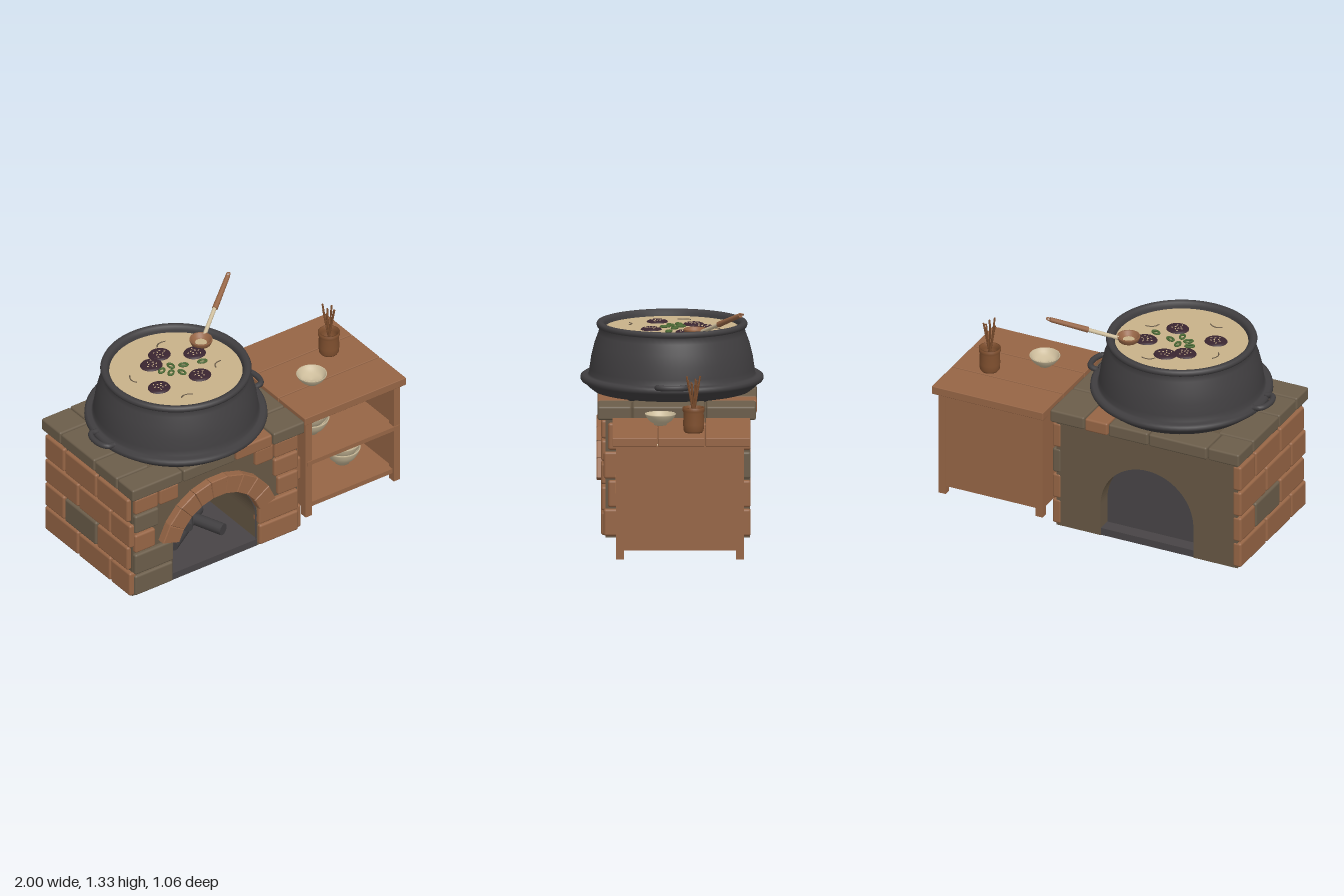
import * as THREE from 'three';
import { RoundedBoxGeometry } from 'three/addons/geometries/RoundedBoxGeometry.js';

const mat = (name, color, side = THREE.FrontSide) => {
  const m = new THREE.MeshStandardMaterial({ color, side });
  m.name = name;
  return m;
};

export function createModel() {
  const root = new THREE.Group();
  const brown = mat('terracotta brown', 0x966545);
  const stone = mat('grey stone', 0x6b5d4a);
  const mortar = mat('mortar', 0x665744);
  const iron = mat('cast iron', 0x403e40, THREE.DoubleSide);
  const soot = mat('soot', 0x484446);
  const broth = mat('creamy broth', 0xc8b189);
  const cream = mat('glazed cream', 0xcdbd9c, THREE.DoubleSide);
  const plum = mat('dark plum', 0x3a2530);
  const green = mat('herb green', 0x4c6b35);
  const clay = mat('dark clay', 0x80502f, THREE.DoubleSide);

  const group = (name, parent = root) => {
    const g = new THREE.Group();
    g.name = name;
    parent.add(g);
    return g;
  };
  const add = (parent, name, geo, m, x = 0, y = 0, z = 0) => {
    const mesh = new THREE.Mesh(geo, m);
    mesh.name = name;
    mesh.position.set(x, y, z);
    parent.add(mesh);
    return mesh;
  };
  // Box given by its limits, rounded when r > 0
  const box = (parent, name, m, x0, x1, y0, y1, z0, z1, r = 0) => {
    const s = [x1 - x0, y1 - y0, z1 - z0];
    const geo = r ? new RoundedBoxGeometry(...s, 2, r) : new THREE.BoxGeometry(...s);
    return add(parent, name, geo, m, (x0 + x1) / 2, (y0 + y1) / 2, (z0 + z1) / 2);
  };
  const lathe = (pts, n = 48) => new THREE.LatheGeometry(pts.map(p => new THREE.Vector2(...p)), n);
  const V = (x, y, z) => new THREE.Vector3(x, y, z);
  const rod = (parent, name, m, a, b, r0, r1 = r0, n = 12) => {
    const d = b.clone().sub(a);
    const mesh = add(parent, name, new THREE.CylinderGeometry(r1, r0, d.length(), n), m);
    mesh.position.copy(a).addScaledVector(d, 0.5);
    mesh.quaternion.setFromUnitVectors(V(0, 1, 0), d.normalize());
    return mesh;
  };

  const CX = -0.39, SPRING = 0.2;

  // Stove core with an arched tunnel
  const stove = group('stove');
  const arch = (path, r, base = 0) => {
    path.moveTo(CX - r, base);
    path.lineTo(CX - r, SPRING);
    path.absarc(CX, SPRING, r, Math.PI, 0, true);
    path.lineTo(CX + r, base);
    path.closePath();
    return path;
  };
  const extrude = (shape, depth) => new THREE.ExtrudeGeometry(shape, { depth, bevelEnabled: false, curveSegments: 24 });
  const wall = new THREE.Shape();
  wall.moveTo(-0.975, 0);
  wall.lineTo(CX - 0.3, 0);
  wall.lineTo(CX - 0.3, SPRING);
  wall.absarc(CX, SPRING, 0.3, Math.PI, 0, true);
  wall.lineTo(CX + 0.3, 0);
  wall.lineTo(0.195, 0);
  wall.lineTo(0.195, 0.7);
  wall.lineTo(-0.975, 0.7);
  add(stove, 'stoveCore', extrude(wall, 0.835), mortar, 0, 0, -0.45);
  const lining = arch(new THREE.Shape(), 0.302);
  lining.holes.push(arch(new THREE.Path(), 0.292, 0.01));
  add(stove, 'fireboxLining', extrude(lining, 0.73), soot, 0, 0, -0.35);
  add(stove, 'fireboxBack', extrude(arch(new THREE.Shape(), 0.3), 0.02), soot, 0, 0, -0.36);
  box(stove, 'fireboxFloor', soot, CX - 0.3, CX + 0.3, 0, 0.045, -0.445, 0.387);

  // Front bricks: x0, x1, y0, y1, material
  const rows = [[0.01, 0.147], [0.155, 0.295], [0.308, 0.432], [0.445, 0.567], [0.577, 0.685]];
  const fronts = [
    [-0.97, -0.7, 0, stone], [-0.97, -0.695, 1, stone], [-0.97, -0.825, 2, brown],
    [-0.97, -0.8, 3, stone], [-0.97, -0.805, 4, brown], [-0.795, -0.66, 4, brown],
    [-0.085, 0.19, 0, brown], [-0.09, 0.19, 1, brown], [0.045, 0.19, 2, brown],
    [0.02, 0.19, 3, brown], [-0.115, 0.013, 4, brown], [0.022, 0.19, 4, brown],
  ];
  for (const [x0, x1, r, m] of fronts) box(stove, 'frontBrick', m, x0, x1, ...rows[r], 0.34, 0.41, 0.014);

  // Side bricks in running bond
  for (const side of [-1, 1]) {
    for (let r = 0; r < 4; r++) {
      const cuts = r % 2 ? [-0.46, -0.26, 0.06, 0.375] : [-0.46, -0.12, 0.2, 0.4];
      for (let i = 0; i < 3; i++) {
        const isStone = side > 0 ? r === 2 && i === 0 : r === 1 && i === 1;
        const x = side > 0 ? 0.165 : -1;
        box(stove, 'sideBrick', isStone ? stone : brown, x, x + 0.055, 0.01 + r * 0.168, 0.168 + r * 0.168,
          cuts[i] + 0.005, cuts[i + 1] - 0.005, 0.014);
      }
    }
  }

  // Arch bricks
  const from = 0.29, step = (Math.PI - 2 * from) / 9;
  for (let i = 0; i < 9; i++) {
    const a = from + i * step + 0.012, b = from + (i + 1) * step - 0.012;
    const p = (r, t) => new THREE.Vector2(CX + r * Math.cos(t), SPRING + r * Math.sin(t));
    const wedge = new THREE.Shape([p(0.302, a), p(0.413, a), p(0.413, b), p(0.302, b)]);
    add(stove, 'archBrick', new THREE.ExtrudeGeometry(wedge,
      { depth: 0.05, bevelSize: 0.004, bevelThickness: 0.006, bevelSegments: 1 }), brown, 0, 0, 0.38);
  }

  // Stove top slabs: x0, x1, z0, z1, material
  const slabs = [
    [-1, -0.645, 0.27, 0.425, stone], [-0.64, -0.275, 0.25, 0.43, stone], [-0.265, -0.01, 0.25, 0.43, brown],
    [0, 0.22, 0.235, 0.43, stone], [0, 0.22, -0.19, 0.228, stone], [0, 0.22, -0.485, -0.197, stone],
    [-1, -0.77, 0.045, 0.263, stone], [-1, -0.77, -0.29, 0.038, stone], [-1, -0.8, -0.485, -0.297, stone],
    [-0.793, -0.42, -0.49, -0.29, stone], [-0.413, -0.16, -0.49, -0.29, stone], [-0.153, -0.007, -0.49, -0.2, brown],
  ];
  for (const [x0, x1, z0, z1, m] of slabs) box(stove, 'topSlab', m, x0, x1, 0.69, 0.77, z0, z1, 0.012);
  box(stove, 'topBed', mortar, -0.96, 0.18, 0.69, 0.755, -0.45, 0.4);

  // Firewood
  const logs = group('logs');
  rod(logs, 'log', iron, V(-0.56, 0.083, 0.2), V(-0.22, 0.083, -0.02), 0.036);
  rod(logs, 'log', iron, V(-0.225, 0.083, 0.24), V(-0.4, 0.083, -0.22), 0.036);
  rod(logs, 'log', iron, V(-0.42, 0.13, 0.16), V(-0.27, 0.14, -0.05), 0.03);

  // Cauldron with flange and thick rim
  const pot = group('cauldron');
  pot.position.x = CX;
  add(pot, 'cauldronBody', lathe([
    [0, 0.74], [0.3, 0.745], [0.4, 0.755], [0.455, 0.772], [0.485, 0.795], [0.505, 0.82], [0.522, 0.825],
    [0.53, 0.838], [0.528, 0.855], [0.515, 0.864], [0.49, 0.86], [0.48, 0.868], [0.477, 0.9], [0.467, 0.97],
    [0.45, 1.04], [0.428, 1.1], [0.417, 1.135], [0.432, 1.14], [0.438, 1.155], [0.432, 1.168], [0.418, 1.173],
    [0.4, 1.168], [0.388, 1.15], [0.385, 1.1]], 72), iron);
  for (const s of [-1, 1]) {
    const curve = new THREE.CatmullRomCurve3([V(s * 0.5, 0.862, -0.085), V(s * 0.545, 0.868, -0.08),
      V(s * 0.567, 0.868, -0.04), V(s * 0.567, 0.868, 0.04), V(s * 0.545, 0.868, 0.08), V(s * 0.5, 0.862, 0.085)]);
    add(pot, 'cauldronHandle', new THREE.TubeGeometry(curve, 24, 0.017, 10), iron);
  }

  // Soup and garnish
  const soup = group('soup');
  const Y = 1.135;
  add(soup, 'brothSurface', new THREE.CylinderGeometry(0.386, 0.386, 0.01, 64), broth, CX, Y - 0.005, 0);
  const slices = [[-0.57, 0.085], [-0.475, -0.125], [-0.375, -0.185], [-0.2, -0.08], [-0.305, 0.12]];
  slices.forEach(([x, z], k) => {
    const slice = add(soup, 'slice', lathe([[0, 0.01], [0.052, 0.01], [0.062, 0.006], [0.066, 0]], 24), plum, x, Y, z);
    slice.geometry.scale(1.03, 1, 0.93);
    slice.material.side = THREE.DoubleSide;
    for (let i = 0; i < 9; i++) {
      const a = i * 2.4 + k, r = 0.012 + 0.0035 * i;
      const seed = add(slice, 'seed', new THREE.SphereGeometry(0.006, 8, 6), broth, r * Math.cos(a), 0.01, r * Math.sin(a));
      seed.scale.set(1.2, 0.5, 0.6);
      seed.rotation.y = a;
    }
  });
  const rings = [[-0.462, -0.04], [-0.39, -0.05], [-0.325, -0.015], [-0.43, 0.008], [-0.375, 0.04], [-0.215, 0.018]];
  rings.forEach(([x, z], i) => {
    const ring = add(soup, 'herbRing', new THREE.TorusGeometry(0.02, 0.007, 6, 18).rotateX(Math.PI / 2), green, x, Y + 0.005, z);
    ring.scale.set(1.2, 1, 0.75);
    ring.rotation.y = i * 1.1 + 0.5;
  });
  const swirls = [[-0.31, -0.27, 0.4], [-0.65, -0.07, 1.6], [-0.49, 0.24, 0], [-0.16, 0.085, 0.7]];
  for (const [x, z, a] of swirls) {
    const c = new THREE.CatmullRomCurve3([V(-0.04, 0, 0.006), V(-0.012, 0, -0.008), V(0.015, 0, -0.004), V(0.04, 0, 0.012)]);
    add(soup, 'swirl', new THREE.TubeGeometry(c, 10, 0.004, 5), stone, x, Y + 0.001, z).rotation.y = a;
  }

  // Ladle
  const ladle = group('ladle');
  const brownOpen = lathe([[0, -0.035], [0.035, -0.028], [0.058, -0.005], [0.068, 0.02], [0.066, 0.027],
    [0.058, 0.024], [0.048, 0.004], [0.03, -0.008], [0, -0.012]], 32);
  add(ladle, 'ladleBowl', brownOpen, brown, -0.115, 1.145, -0.135);
  add(ladle, 'ladleSoup', new THREE.CylinderGeometry(0.034, 0.034, 0.006, 24), broth, -0.115, 1.144, -0.135);
  rod(ladle, 'ladleStem', cream, V(-0.065, 1.16, -0.17), V(0.1, 1.238, -0.286), 0.012);
  rod(ladle, 'ladleGrip', brown, V(0.08, 1.228, -0.27), V(0.262, 1.313, -0.396), 0.017, 0.014);
  const loop = add(ladle, 'ladleLoop', new THREE.TorusGeometry(0.011, 0.004, 8, 16).rotateX(Math.PI / 2), brown, 0.27, 1.318, -0.403);
  loop.rotation.z = 0.4;

  // Side table
  const table = group('sideTable');
  const zs = [-0.455, -0.192, 0.083, 0.348];
  for (let i = 0; i < 3; i++) box(table, 'topPlank', brown, 0.28, 1, 0.665, 0.715, zs[i] + 0.003, zs[i + 1] - 0.003, 0.004);
  for (const x of [0.302, 0.928]) for (const z of [-0.415, 0.277])
    box(table, 'tableLeg', brown, x, x + 0.045, 0, 0.665, z, z + 0.046);
  for (const x of [0.306, 0.943]) box(table, 'sidePanel', brown, x, x + 0.026, 0.052, 0.665, -0.4, 0.3);
  box(table, 'backPanel', brown, 0.32, 0.955, 0.052, 0.665, -0.412, -0.39);
  box(table, 'bottomShelf', brown, 0.32, 0.955, 0.052, 0.082, -0.4, 0.31);
  box(table, 'middleShelf', brown, 0.31, 0.965, 0.36, 0.387, -0.4, 0.328);
  box(table, 'topRail', brown, 0.34, 0.935, 0.645, 0.667, 0.285, 0.315);

  // Bowls
  const bowl = (name, x, y, z, r, h) => add(root, name, lathe([
    [0, 0], [0.4 * r, 0], [0.42 * r, 0.13 * h], [0.7 * r, 0.35 * h], [0.9 * r, 0.68 * h], [0.97 * r, 0.9 * h],
    [r, 0.95 * h], [0.98 * r, h], [0.92 * r, 0.97 * h], [0.84 * r, 0.7 * h], [0.62 * r, 0.42 * h], [0, 0.28 * h]], 36),
    cream, x, y, z);
  for (let i = 0; i < 3; i++) bowl('upperBowl', 0.51, 0.388 + i * 0.045, 0.08, 0.11, 0.103);
  for (let i = 0; i < 2; i++) bowl('lowerBowl', 0.735, 0.083 + i * 0.04, 0.08, 0.107, 0.108);
  bowl('tableBowl', 0.527, 0.715, 0.067, 0.09, 0.067);

  // Chopstick cup
  const cup = group('chopstickCup');
  cup.position.set(0.787, 0.715, -0.125);
  add(cup, 'cup', lathe([[0, 0], [0.05, 0], [0.058, 0.012], [0.061, 0.05], [0.058, 0.115], [0.064, 0.128],
    [0.064, 0.147], [0.056, 0.149], [0.05, 0.12], [0.05, 0.02], [0, 0.02]], 36), clay);
  for (let i = 0; i < 8; i++) {
    const a = i * Math.PI / 4 + 0.3, c = Math.cos(a), s = Math.sin(a), r = 0.03 + 0.006 * (i % 3);
    rod(cup, 'chopstick', clay, V(-0.012 * c, 0.02, -0.012 * s), V(r * c, 0.29 + 0.018 * (i % 3), r * s), 0.004, 0.0055, 6);
  }
  return root;
}
